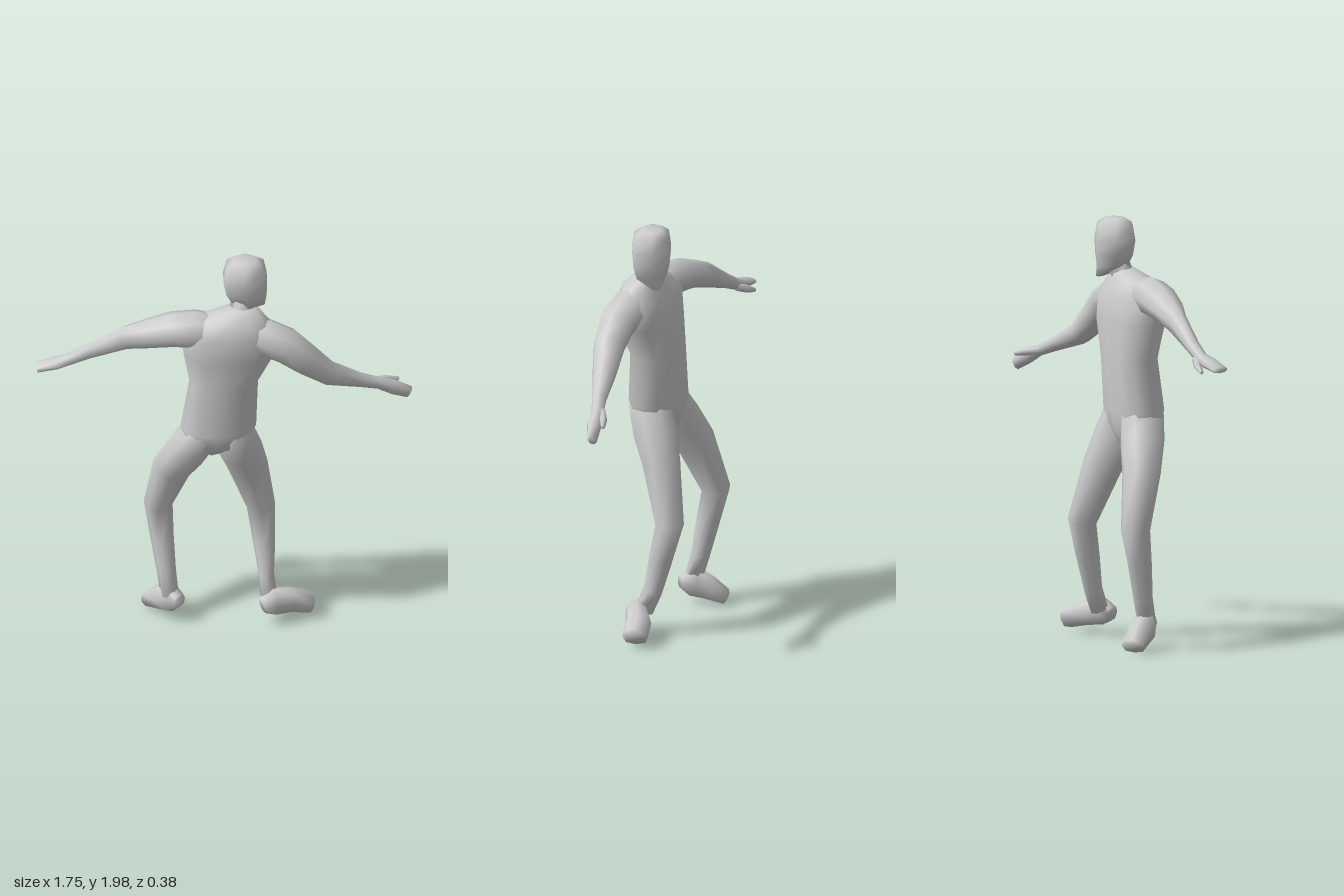
import * as THREE from 'three';

const Y = new THREE.Vector3(0, 1, 0);
const Z = new THREE.Vector3(0, 0, 1);
const material = new THREE.MeshStandardMaterial({ color: 0xcccccc });

// Skin a closed tube through rings [x, y, z, halfWidth, halfDepth].
// ref: direction of ring depth (limbs) or height (feet); axis fixes the ring normal;
// power below 1 makes the ring boxier.
function loft(name, rings, { sides = 8, ref = Z, axis = null, power = 1, phase = 0 } = {}) {
  const centres = rings.map(r => new THREE.Vector3(r[0], r[1], r[2]));
  const pos = [], index = [], n = rings.length;
  const shape = s => Math.sign(s) * Math.pow(Math.abs(s), power);
  rings.forEach((r, i) => {
    const t = axis ? axis.clone()
      : centres[Math.min(i + 1, n - 1)].clone().sub(centres[Math.max(i - 1, 0)]).normalize();
    const u = ref.clone().cross(t).normalize();
    const v = t.clone().cross(u);
    for (let j = 0; j < sides; j++) {
      const a = phase + (j / sides) * Math.PI * 2;
      const p = centres[i].clone()
        .addScaledVector(u, r[3] * shape(Math.cos(a)))
        .addScaledVector(v, r[4] * shape(Math.sin(a)));
      pos.push(p.x, p.y, p.z);
    }
  });
  for (let i = 0; i < n - 1; i++) {
    for (let j = 0; j < sides; j++) {
      const a = i * sides + j, b = i * sides + (j + 1) % sides;
      index.push(a, b, b + sides, a, b + sides, a + sides);
    }
  }
  // end caps
  const last = (n - 1) * sides;
  for (let j = 1; j < sides - 1; j++) {
    index.push(0, j + 1, j, last, last + j, last + j + 1);
  }
  const g = new THREE.BufferGeometry();
  g.setAttribute('position', new THREE.Float32BufferAttribute(pos, 3));
  g.setIndex(index);
  g.computeVertexNormals();
  const mesh = new THREE.Mesh(g, material);
  mesh.name = name;
  return mesh;
}

export function createModel() {
  const model = new THREE.Group();
  model.name = 'figure';

  // torso, from crotch to the base of the neck
  model.add(loft('torso', [
    [-0.055, 0.945, 0.01, 0.012, 0.04],
    [-0.04, 1.02, 0.035, 0.15, 0.1],
    [-0.025, 1.11, 0.045, 0.176, 0.122],
    [0, 1.35, 0.035, 0.16, 0.115],
    [0.028, 1.52, 0.06, 0.216, 0.13],
    [0.03, 1.64, 0.065, 0.22, 0.125],
    [0.035, 1.71, 0.075, 0.17, 0.09],
    [0.095, 1.765, 0.05, 0.055, 0.05],
  ], { sides: 12, axis: Y, power: 0.88 }));

  // neck and six-sided head, chin turned toward +x
  model.add(loft('neck', [
    [0.08, 1.69, 0.06, 0.07, 0.06],
    [0.1, 1.83, 0.02, 0.055, 0.055],
  ], { axis: Y }));
  model.add(loft('head', [
    [0.155, 1.72, -0.035, 0.018, 0.018],
    [0.117, 1.77, 0.012, 0.085, 0.077],
    [0.106, 1.83, 0.016, 0.108, 0.094],
    [0.1, 1.9, 0.018, 0.117, 0.1],
    [0.1, 1.97, 0.018, 0.1, 0.09],
    [0.1, 1.998, 0.015, 0.06, 0.05],
  ], { sides: 6, axis: Y, phase: Math.PI / 2 }));

  // arms, each running from inside the chest to the fingertips
  model.add(loft('rightArm', [
    [0.02, 1.65, 0.07, 0.06, 0.07],
    [-0.13, 1.655, 0.072, 0.09, 0.094],
    [-0.24, 1.643, 0.055, 0.081, 0.093],
    [-0.36, 1.61, 0.04, 0.067, 0.075],
    [-0.46, 1.575, 0.02, 0.06, 0.045],
    [-0.63, 1.49, 0, 0.035, 0.033],
    [-0.72, 1.445, -0.005, 0.028, 0.03],
    [-0.78, 1.43, 0, 0.025, 0.045],
    [-0.868, 1.41, 0.005, 0.016, 0.042],
  ]));
  model.add(loft('rightThumb', [
    [-0.7, 1.44, -0.02, 0.02, 0.022],
    [-0.755, 1.415, -0.048, 0.018, 0.018],
    [-0.805, 1.395, -0.058, 0.01, 0.01],
  ], { sides: 6 }));
  model.add(loft('leftArm', [
    [0.04, 1.64, 0.07, 0.06, 0.07],
    [0.18, 1.622, 0.088, 0.088, 0.094],
    [0.29, 1.575, 0.1, 0.088, 0.09],
    [0.38, 1.5, 0.095, 0.078, 0.078],
    [0.49, 1.4, 0.065, 0.058, 0.058],
    [0.64, 1.33, 0.015, 0.034, 0.034],
    [0.72, 1.295, -0.015, 0.028, 0.03],
    [0.79, 1.26, -0.035, 0.037, 0.035],
    [0.862, 1.217, -0.06, 0.032, 0.022],
  ]));
  model.add(loft('leftThumb', [
    [0.7, 1.3, -0.025, 0.02, 0.022],
    [0.76, 1.285, -0.068, 0.018, 0.018],
    [0.815, 1.27, -0.092, 0.01, 0.01],
  ], { sides: 6 }));

  // legs, hip to ankle, knees bent toward -z
  model.add(loft('rightLeg', [
    [-0.06, 1.22, 0.045, 0.06, 0.08],
    [-0.105, 1.08, 0.045, 0.088, 0.112],
    [-0.16, 0.97, 0.01, 0.102, 0.11],
    [-0.235, 0.84, -0.04, 0.095, 0.092],
    [-0.302, 0.59, -0.113, 0.068, 0.071],
    [-0.285, 0.43, -0.08, 0.055, 0.06],
    [-0.265, 0.26, -0.05, 0.045, 0.048],
    [-0.25, 0.14, -0.02, 0.042, 0.046],
  ]));
  model.add(loft('leftLeg', [
    [0.03, 1.22, 0.045, 0.06, 0.08],
    [0.055, 1.08, 0.045, 0.09, 0.112],
    [0.075, 0.97, 0.01, 0.105, 0.11],
    [0.113, 0.84, -0.04, 0.095, 0.092],
    [0.176, 0.57, -0.115, 0.067, 0.071],
    [0.19, 0.4, -0.075, 0.052, 0.06],
    [0.2, 0.24, -0.04, 0.036, 0.048],
    [0.21, 0.14, 0, 0.04, 0.046],
  ]));

  // feet, heel to toe
  model.add(loft('rightFoot', [
    [-0.205, 0.135, 0.025, 0.035, 0.03],
    [-0.25, 0.13, -0.025, 0.05, 0.075],
    [-0.29, 0.092, -0.085, 0.054, 0.058],
    [-0.333, 0.05, -0.145, 0.058, 0.036],
  ], { ref: Y, power: 0.75 }));
  model.add(loft('leftFoot', [
    [0.18, 0.12, 0.05, 0.038, 0.035],
    [0.23, 0.13, 0.03, 0.052, 0.065],
    [0.31, 0.11, -0.02, 0.06, 0.056],
    [0.402, 0.08, -0.05, 0.06, 0.046],
  ], { ref: Y, power: 0.75 }));

  return model;
}
